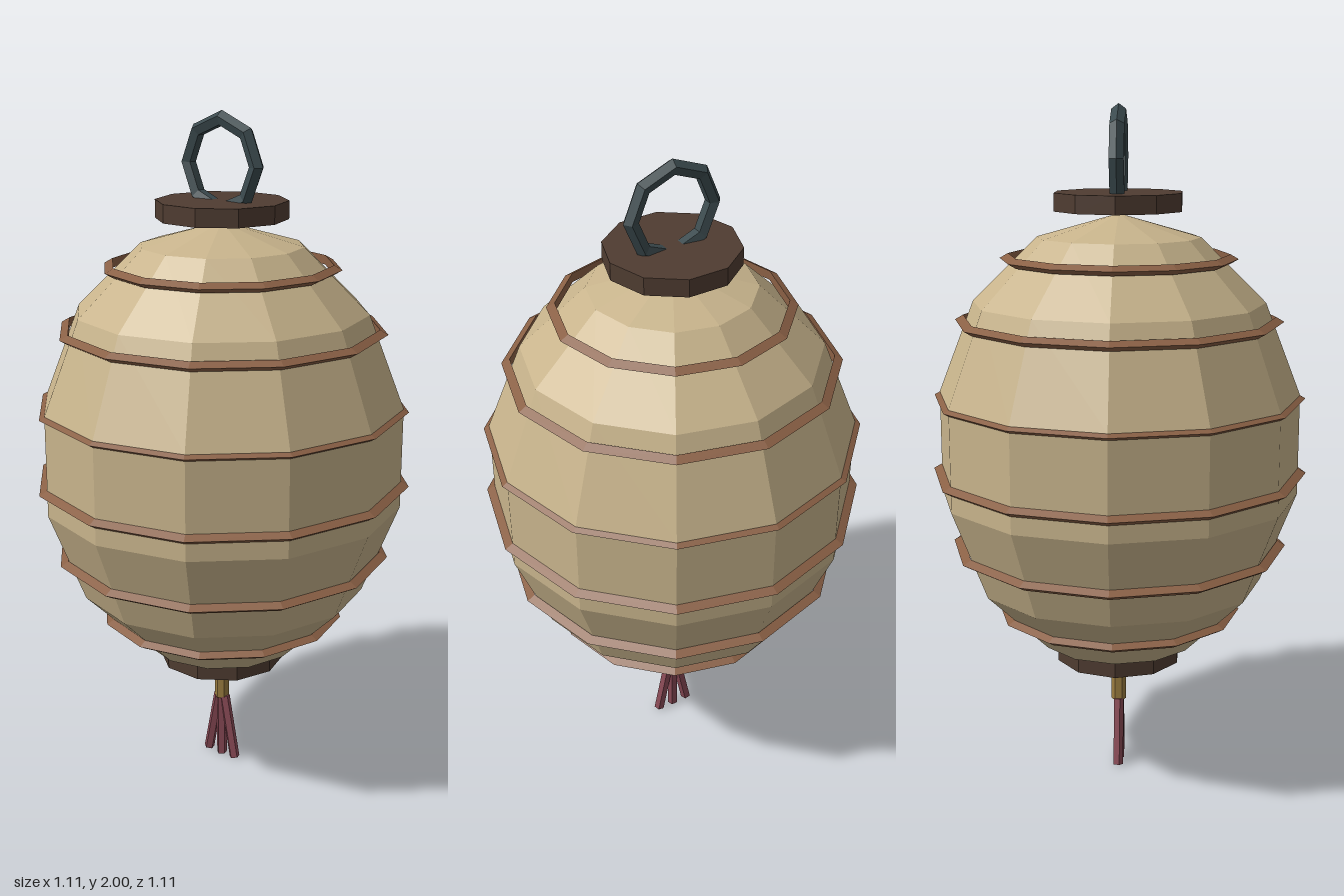
import * as THREE from 'three';

const material = (color) => new THREE.MeshStandardMaterial({ color, flatShading: true });
const paper = material(0xc8b48c);
const darkWood = material(0x4f3c31);
const bamboo = material(0x8a6045);
const iron = material(0x3b4a4e);
const gold = material(0x9a7c40);
const thread = material(0x8a4a56);

export function createModel() {
  const model = new THREE.Group();
  model.name = 'paperLantern';

  const add = (name, geometry, mat, x = 0, y = 0) => {
    const mesh = new THREE.Mesh(geometry, mat);
    mesh.name = name;
    mesh.position.set(x, y, 0);
    model.add(mesh);
    return mesh;
  };

  // Faceted paper shade, a sphere stretched upwards
  const shade = new THREE.SphereGeometry(0.545, 12, 7).scale(1, 0.674 / 0.545, 1);
  add('paperShade', shade, paper, 0, 1.02);

  // Thin ribs round the shade: [height, outer radius]
  const ribTube = 0.016;
  [[1.565, 0.345], [1.385, 0.48], [1.16, 0.547], [0.935, 0.555], [0.71, 0.5], [0.505, 0.365]]
    .forEach(([y, outer], i) => {
      const rib = new THREE.TorusGeometry(outer - ribTube, ribTube, 3, 12).rotateX(Math.PI / 2);
      add(`rib${i + 1}`, rib, bamboo, 0, y);
    });

  // Wooden end caps with a corner on the x axis
  const cap = new THREE.CylinderGeometry(0.19, 0.19, 0.052, 10).rotateY(Math.PI / 2);
  add('topCap', cap, darkWood, 0, 1.728);
  add('bottomCap', cap, darkWood, 0, 0.376);

  // Hanging ring
  add('hangingRing', new THREE.TorusGeometry(0.126, 0.022, 5, 8), iron, 0, 1.852);

  // Tassel: a gold stem and three fanned strands
  add('tasselStem', new THREE.CylinderGeometry(0.022, 0.022, 0.15, 6), gold, 0, 0.28);
  for (const side of [-1, 0, 1]) {
    const strand = new THREE.CylinderGeometry(0.016, 0.016, 0.205, 5);
    add('tasselStrand', strand, thread, side * 0.032, 0.108).rotation.z = side * 0.2;
  }

  return model;
}
